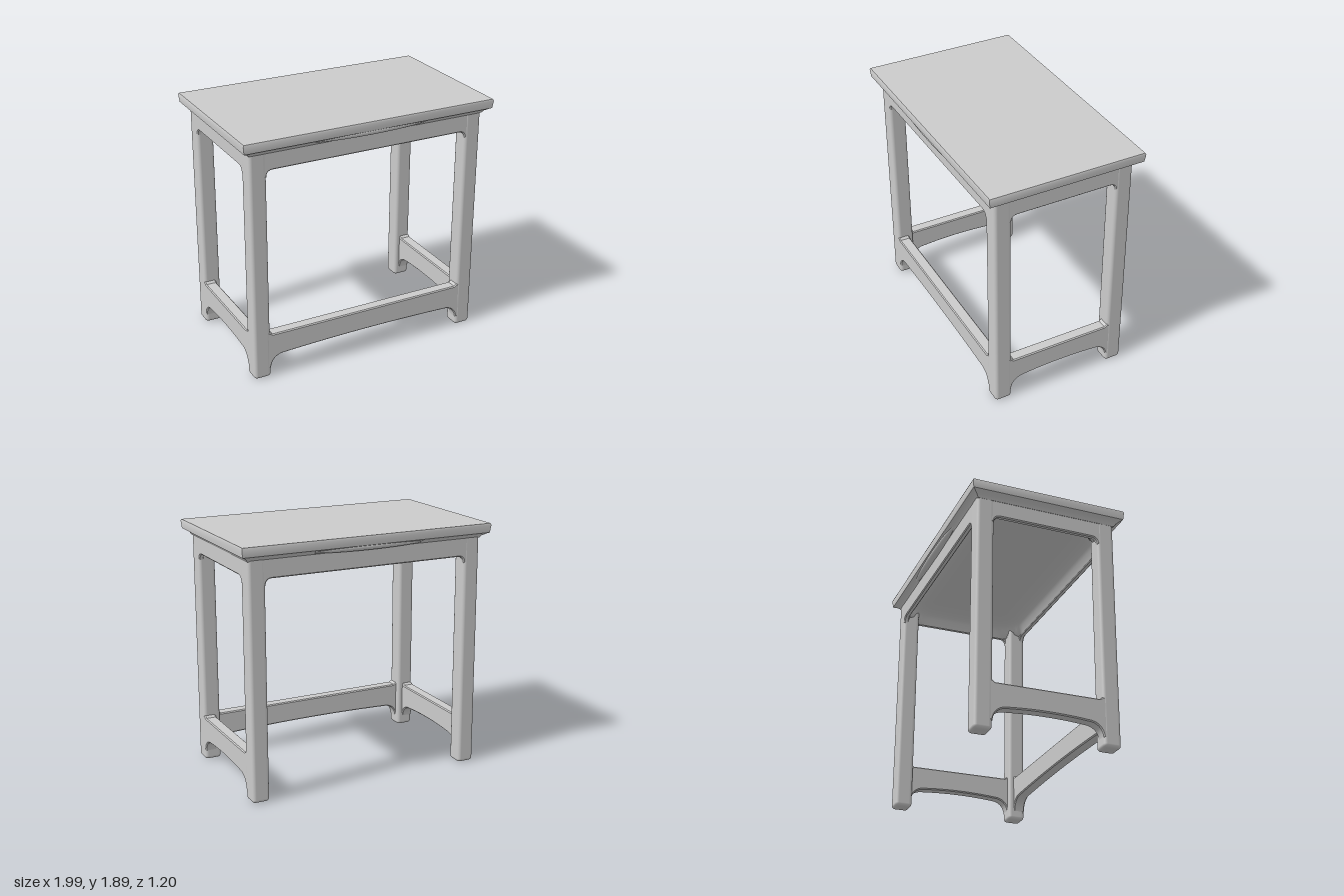
import * as THREE from 'three';
import { RoundedBoxGeometry } from 'three/addons/geometries/RoundedBoxGeometry.js';
import { toCreasedNormals } from 'three/addons/utils/BufferGeometryUtils.js';

const LEG = 0.132, LEG_X = 0.868, FRONT_Z = 0.465, BACK_Z = -0.485;
const APRON = 0.04, STRETCHER = 0.09;
const MID_Z = (FRONT_Z + BACK_Z) / 2;

export function createModel() {
  const model = new THREE.Group();
  const material = new THREE.MeshStandardMaterial({ color: 0xcccccc });
  const add = (name, geometry, x = 0, y = 0, z = 0, turn = 0) => {
    const mesh = new THREE.Mesh(geometry, material);
    mesh.name = name;
    mesh.position.set(x, y, z);
    mesh.rotation.y = turn;
    model.add(mesh);
    return mesh;
  };

  // Rails are flat outlines reaching into the legs, extruded about their middle
  const rail = (shape, thickness) => {
    const b = 0.008;
    const g = new THREE.ExtrudeGeometry(shape, {
      depth: thickness - 2 * b, bevelEnabled: true, bevelSize: b, bevelOffset: -b,
      bevelThickness: b, bevelSegments: 1, curveSegments: 10,
    });
    g.translate(0, 0, b - thickness / 2);
    return toCreasedNormals(g, 0.35);
  };

  // Apron with small rounded corners against the legs; a = half gap between legs
  const apron = (a, bottom) => {
    const s = new THREE.Shape(), e = a + 0.05, r = 0.05;
    s.moveTo(-e, 1.81);
    s.lineTo(-e, bottom - r);
    s.lineTo(-a, bottom - r);
    s.quadraticCurveTo(-a, bottom, -a + r, bottom);
    s.lineTo(a - r, bottom);
    s.quadraticCurveTo(a, bottom, a, bottom - r);
    s.lineTo(e, bottom - r);
    s.lineTo(e, 1.81);
    return rail(s, APRON);
  };

  // Low stretcher with an arched underside
  const stretcher = (a) => {
    const s = new THREE.Shape(), e = a + 0.05, r = 0.09;
    s.moveTo(-e, 0.365);
    s.lineTo(-e, 0.07);
    s.lineTo(-a, 0.07);
    s.quadraticCurveTo(-a + 0.01, 0.155, -a + r, 0.17);
    s.quadraticCurveTo(0, 0.2, a - r, 0.17);
    s.quadraticCurveTo(a - 0.01, 0.155, a, 0.07);
    s.lineTo(e, 0.07);
    s.lineTo(e, 0.365);
    s.lineTo(a, 0.365);
    s.lineTo(a - 0.02, 0.35);
    s.lineTo(-a + 0.02, 0.35);
    s.lineTo(-a, 0.365);
    return rail(s, STRETCHER);
  };

  // Table top: a box whose layers flare in a cove from the apron out to the edge
  const layers = [[1.775, 0.935, 0.54], [1.795, 0.948, 0.555], [1.81, 0.975, 0.58], [1.818, 0.99, 0.595],
    [1.875, 0.997, 0.602], [1.888, 0.992, 0.597]];
  const steps = layers.length - 1;
  const top = new THREE.BoxGeometry(2, steps, 2, 1, steps, 1);
  const p = top.attributes.position;
  for (let i = 0; i < p.count; i++) {
    const [y, hx, hz] = layers[Math.round(p.getY(i) + steps / 2)];
    p.setXYZ(i, p.getX(i) * hx, y, p.getZ(i) * hz);
  }
  add('tableTop', toCreasedNormals(top, 0.5));

  // Hollow underside, curving down to the thin lower edges of the aprons
  const hx = LEG_X + LEG / 2 - APRON, hz = (FRONT_Z - BACK_Z + LEG) / 2 - APRON, r = 0.23;
  const under = new THREE.PlaneGeometry(2 * hx, 2 * hz, 70, 50);
  under.rotateX(Math.PI / 2);
  const q = under.attributes.position;
  for (let i = 0; i < q.count; i++) {
    const u = Math.max(0, 1 - (hx - Math.abs(q.getX(i))) / r);
    const v = Math.max(0, 1 - (hz - Math.abs(q.getZ(i))) / r);
    const t = Math.min(1, Math.hypot(u, v));
    q.setY(i, 1.77 - 0.118 * (1 - Math.sqrt(1 - t * t)));
  }
  under.computeVertexNormals();
  add('underside', under, 0, 0, MID_Z);

  // Legs, leaning very slightly forward towards the top
  for (const x of [-LEG_X, LEG_X])
    for (const z of [FRONT_Z, BACK_Z])
      add('leg', new RoundedBoxGeometry(LEG, 1.81, LEG, 3, 0.026), x, 0.905, z).rotation.x = 0.006;

  // Long rails, flush with the outer leg faces; the back has no stretcher
  const flush = (thickness) => (LEG - thickness) / 2 - 0.002;
  const gapX = LEG_X - LEG / 2;
  add('frontApron', apron(gapX, 1.645), 0, 0, FRONT_Z + flush(APRON) + 0.004);
  add('backApron', apron(gapX, 1.645), 0, 0, BACK_Z - flush(APRON) + 0.004);
  add('frontStretcher', stretcher(gapX), 0, 0, FRONT_Z + flush(STRETCHER) - 0.004);

  // Side rails
  const gapZ = (FRONT_Z - BACK_Z - LEG) / 2;
  for (const side of [-1, 1]) {
    add('sideApron', apron(gapZ, 1.652), side * (LEG_X + flush(APRON)), 0, MID_Z + 0.004, Math.PI / 2);
    add('sideStretcher', stretcher(gapZ), side * (LEG_X + flush(STRETCHER)), 0, MID_Z - 0.004, Math.PI / 2);
  }

  // Soft swelling under the long edges of the top
  for (const z of [0.545, -0.545])
    add('edgeSwell', new THREE.SphereGeometry(1, 32, 16), 0, 1.805, z).scale.set(0.5, 0.03, 0.045);

  return model;
}
